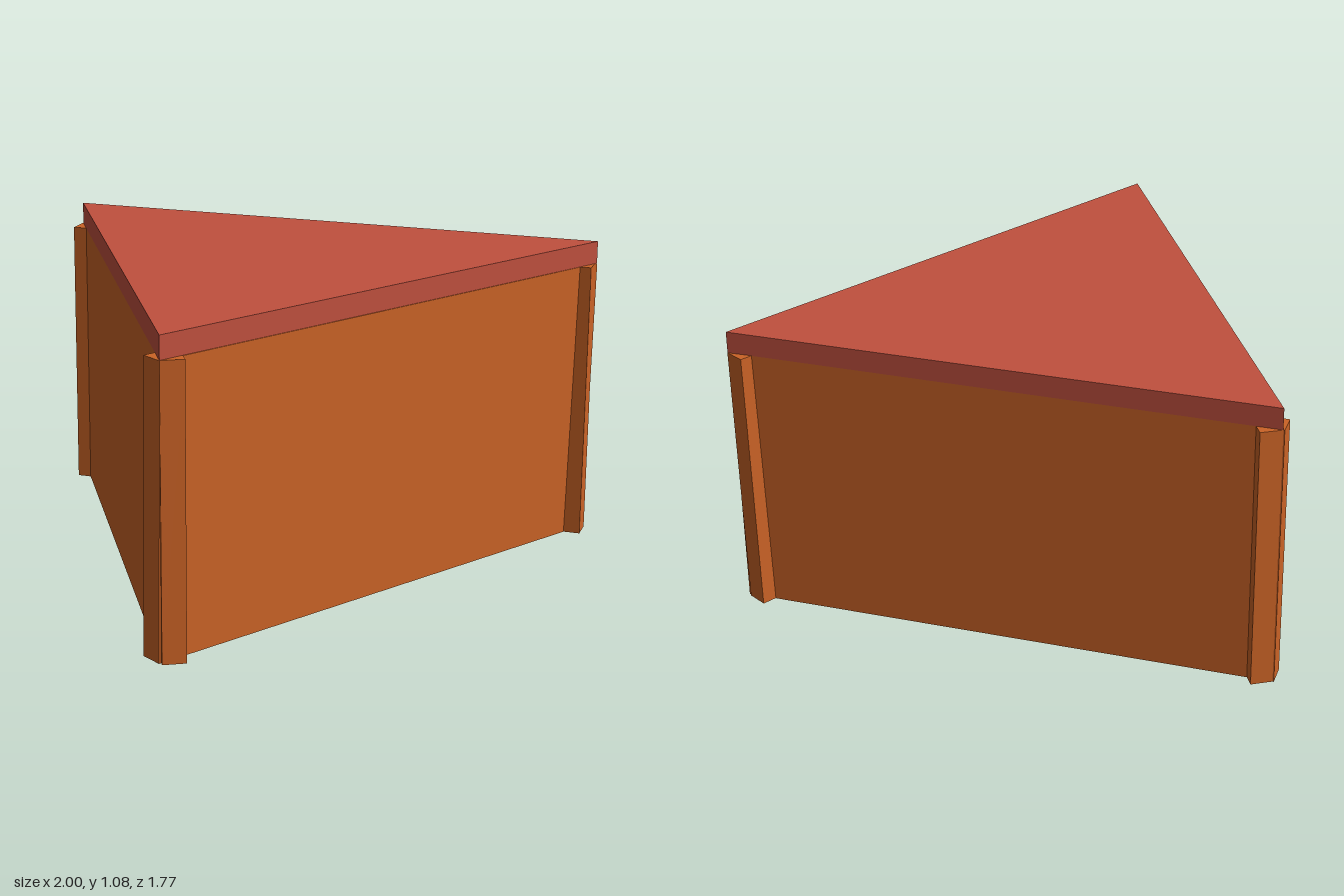
import * as THREE from 'three';

const WALL_HEIGHT = 1, THICK = 0.08, LID = 0.08;
const APEX = [0, -0.888], LEFT = [1, 0.84], RIGHT = [-1, 0.84];

export function createModel() {
  const group = new THREE.Group();
  const wood = new THREE.MeshStandardMaterial({ color: 0xcb6326 });
  wood.name = 'orange wood';
  const red = new THREE.MeshStandardMaterial({ color: 0xc0503e });
  red.name = 'brick red';

  // A plank whose outer face runs from a to b, thickened towards the centre
  function addWall(name, a, b, slide = 0, lean = 0) {
    const dx = b[0] - a[0], dz = b[1] - a[1];
    const length = Math.hypot(dx, dz);
    const ux = dx / length, uz = dz / length;
    const wall = new THREE.Mesh(new THREE.BoxGeometry(length, WALL_HEIGHT, THICK), wood);
    wall.name = name;
    wall.rotation.order = 'YXZ';
    wall.rotation.y = Math.atan2(-dz, dx);
    wall.rotation.x = lean;
    wall.position.set(
      (a[0] + b[0]) / 2 + ux * slide + uz * THICK / 2,
      WALL_HEIGHT / 2,
      (a[1] + b[1]) / 2 + uz * slide - ux * THICK / 2
    );
    group.add(wall);
    return wall;
  }

  // Three full-length planks, crossing at the corners; the front one leans slightly
  const front = addWall('frontWall', RIGHT, LEFT, 0, 0.0165);
  front.position.z -= 0.007;
  addWall('leftWall', LEFT, APEX, 0.005);
  addWall('rightWall', APEX, RIGHT);

  // Flat triangular lid (shape y becomes -z once laid down)
  const shape = new THREE.Shape([RIGHT, LEFT, APEX].map(([x, z]) => new THREE.Vector2(x, -z)));
  const lidGeometry = new THREE.ExtrudeGeometry(shape, { depth: LID, bevelEnabled: false });
  lidGeometry.rotateX(-Math.PI / 2);
  const lid = new THREE.Mesh(lidGeometry, red);
  lid.name = 'lid';
  lid.position.y = WALL_HEIGHT;
  group.add(lid);

  return group;
}
